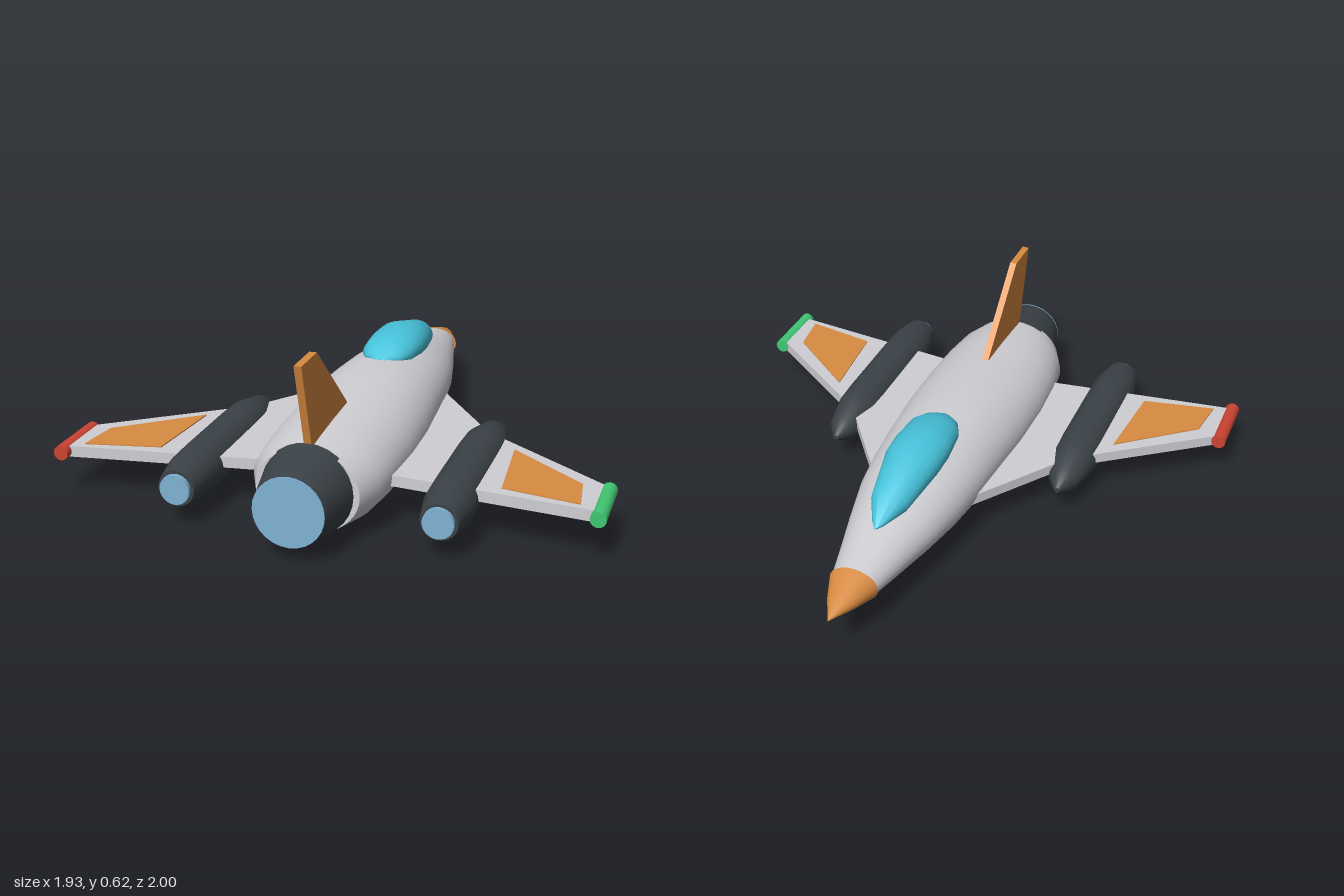
import * as THREE from 'three';
import { toCreasedNormals } from 'three/addons/utils/BufferGeometryUtils.js';

const mat = (name, color) => {
  const m = new THREE.MeshStandardMaterial({ color });
  m.name = name;
  return m;
};

// Skin of ellipses along z; each section is [z, centreY, radiusX, radiusY]
function loft(sections, sides = 32, crease = 0.7) {
  const pos = [], idx = [];
  for (const [z, cy, rx, ry] of sections) {
    for (let i = 0; i < sides; i++) {
      const a = (i / sides) * Math.PI * 2;
      pos.push(Math.cos(a) * rx, cy + Math.sin(a) * ry, z);
    }
  }
  const last = sections.length - 1;
  for (let k = 0; k < last; k++) {
    for (let i = 0; i < sides; i++) {
      const j = (i + 1) % sides;
      const a = k * sides + i, b = k * sides + j;
      idx.push(a, b, a + sides, b, b + sides, a + sides);
    }
  }
  // end caps
  for (const k of [0, last]) {
    const centre = pos.length / 3;
    pos.push(0, sections[k][1], sections[k][0]);
    for (let i = 0; i < sides; i++) {
      const a = k * sides + i, b = k * sides + ((i + 1) % sides);
      if (k === 0) idx.push(centre, b, a);
      else idx.push(centre, a, b);
    }
  }
  const geo = new THREE.BufferGeometry();
  geo.setAttribute('position', new THREE.Float32BufferAttribute(pos, 3));
  geo.setIndex(idx);
  return toCreasedNormals(geo, crease);
}

// Round body along z from [z, radius] pairs
const round = (profile, sides = 24, crease) => loft(profile.map(([z, r]) => [z, 0, r, r]), sides, crease);

// Flat plate in plan from [x, z] points, between two heights
function plate(points, side, bottom, top) {
  const shape = new THREE.Shape(points.map(([x, z]) => new THREE.Vector2(x * side, z)));
  const geo = new THREE.ExtrudeGeometry(shape, { depth: top - bottom, bevelEnabled: false });
  return geo.rotateX(Math.PI / 2).translate(0, top, 0);
}

export function createModel() {
  const model = new THREE.Group();
  model.name = 'spacePlane';
  const hull = mat('hullGrey', 0xcfcfd4);
  const orange = mat('trimOrange', 0xd98c42);
  const dark = mat('engineDark', 0x3b4247);
  const glass = mat('canopyCyan', 0x47c4dc);
  const glow = mat('exhaustBlue', 0x7fb3d5);
  const red = mat('portRed', 0xcc4433);
  const green = mat('starboardGreen', 0x40c873);

  const add = (name, geo, material, x = 0, y = 0, z = 0, parent = model) => {
    const mesh = new THREE.Mesh(geo, material);
    mesh.name = name;
    mesh.position.set(x, y, z);
    parent.add(mesh);
    return mesh;
  };

  // Fuselage
  add('fuselage', loft([
    [-0.82, 0.177, 0.078, 0.057], [-0.66, 0.18, 0.116, 0.086], [-0.5, 0.185, 0.155, 0.114],
    [-0.33, 0.193, 0.192, 0.142], [-0.18, 0.195, 0.211, 0.156], [0, 0.196, 0.225, 0.166],
    [0.2, 0.186, 0.24, 0.176], [0.42, 0.178, 0.245, 0.172], [0.6, 0.177, 0.236, 0.165],
    [0.73, 0.176, 0.221, 0.156], [0.82, 0.176, 0.18, 0.147],
  ], 40), hull);
  add('noseCone', loft([
    [-1, 0.177, 0.001, 0.001], [-0.9, 0.177, 0.051, 0.036], [-0.8, 0.177, 0.09, 0.066],
  ], 24), orange);
  add('canopy', loft([
    [-0.62, 0.28, 0.003, 0.003], [-0.59, 0.285, 0.024, 0.018], [-0.5, 0.308, 0.068, 0.058],
    [-0.3, 0.345, 0.104, 0.075], [-0.2, 0.35, 0.107, 0.071], [-0.09, 0.352, 0.097, 0.06],
    [-0.03, 0.354, 0.07, 0.033], [0.01, 0.355, 0.02, 0.008],
  ], 20, 0.9), glass);

  // Main exhaust
  add('mainNozzle', round([[0.805, 0.162], [0.995, 0.122]], 28), dark, 0, 0.177);
  add('mainExhaust', round([[0.994, 0.122], [1, 0.122]], 28), glow, 0, 0.177);

  // Tail fin
  const finShape = new THREE.Shape([[0.42, 0.335], [0.46, 0.25], [0.785, 0.25], [0.805, 0.33], [0.888, 0.628], [0.74, 0.628]]
    .map(([z, y]) => new THREE.Vector2(z, y)));
  const finGeo = new THREE.ExtrudeGeometry(finShape, { depth: 0.026, bevelEnabled: false });
  add('tailFin', finGeo.rotateY(-Math.PI / 2).translate(0.013, 0, 0), orange);

  // Wings with panels, engine pods and tip lights
  const wingPlan = [[0.1, -0.34], [0.45, 0.155], [0.925, 0.505], [0.925, 0.713], [0.1, 0.615]];
  const panelPlan = [[0.577, 0.3], [0.853, 0.525], [0.873, 0.682], [0.605, 0.632]];
  for (const side of [1, -1]) {
    const wing = new THREE.Group();
    wing.name = side > 0 ? 'leftWing' : 'rightWing';
    model.add(wing);
    const put = (name, geo, material, x = 0, y = 0) => add(name, geo, material, x * side, y, 0, wing);
    put('wingPlate', plate(wingPlan, side, 0.143, 0.183), hull);
    put('upperPanel', plate(panelPlan, side, 0.182, 0.187), orange);
    put('lowerPanel', plate(panelPlan, side, 0.139, 0.144), orange);
    put('enginePod', round([
      [0, 0.01], [0.07, 0.055], [0.2, 0.083], [0.3, 0.086], [0.62, 0.086], [0.74, 0.084], [0.83, 0.068], [0.85, 0.064],
    ]), dark, 0.452, 0.14);
    put('podExhaust', round([[0.84, 0.053], [0.866, 0.053]]), glow, 0.452, 0.14);
    put('tipLight', round([[0.495, 0.027], [0.74, 0.027]], 16), side > 0 ? green : red, 0.938, 0.164);
  }
  return model;
}
